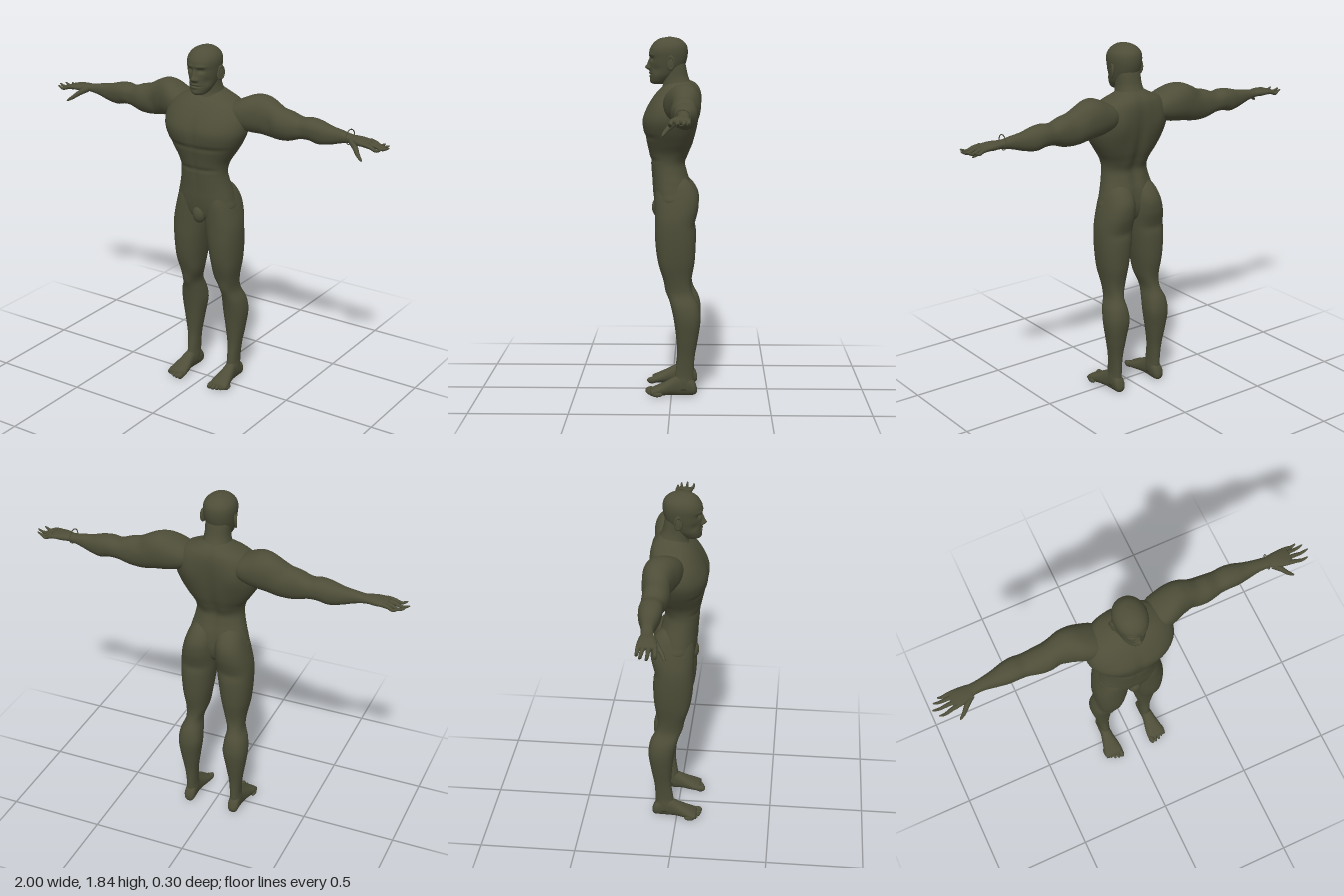
import * as THREE from 'three';

const skin = new THREE.MeshStandardMaterial({ color: 0x4d4d38 });
skin.name = 'olive';

// Smooth interpolation of section rows [t, u0, u1, v0, v1]
function sample(rows, t) {
  let i = 0;
  while (i < rows.length - 2 && t > rows[i + 1][0]) i++;
  const a = rows[i], b = rows[i + 1], h = b[0] - a[0], k = (t - a[0]) / h;
  const p = rows[Math.max(i - 1, 0)], q = rows[Math.min(i + 2, rows.length - 1)];
  return [1, 2, 3, 4].map(c => {
    const m0 = (b[c] - p[c]) / (b[0] - p[0]) * h, m1 = (q[c] - a[c]) / (q[0] - a[0]) * h;
    const k2 = k * k, k3 = k2 * k;
    return (2 * k3 - 3 * k2 + 1) * a[c] + (k3 - 2 * k2 + k) * m0 + (3 * k2 - 2 * k3) * b[c] + (k3 - k2) * m1;
  });
}

// Closed loft of rounded sections, with muscle bumps [x, y, z, rx, ry, rz, amount] mirrored in x
function loft(name, rows, map, bumps = [], n = 56, m = 64, power = 2.25) {
  const pos = [], idx = [], t0 = rows[0][0], t1 = rows[rows.length - 1][0];
  for (let j = 0; j <= m; j++) {
    const t = t0 + (t1 - t0) * j / m, [u0, u1, v0, v1] = sample(rows, t);
    for (let i = 0; i < n; i++) {
      const a = i / n * Math.PI * 2, c = Math.cos(a), s = Math.sin(a), e = 2 / power;
      const u = (u0 + u1) / 2 + (u1 - u0) / 2 * Math.sign(c) * Math.abs(c) ** e;
      const v = (v0 + v1) / 2 + (v1 - v0) / 2 * Math.sign(s) * Math.abs(s) ** e;
      pos.push(...map(t, u, v));
      const d = (i + 1) % n;
      if (j < m) idx.push(j * n + i, j * n + d, j * n + n + i, j * n + d, j * n + n + d, j * n + n + i);
    }
  }
  // End caps
  for (const [t, base, dir] of [[t0, 0, 1], [t1, m * n, 0]]) {
    const [u0, u1, v0, v1] = sample(rows, t), c = pos.length / 3;
    pos.push(...map(t, (u0 + u1) / 2, (v0 + v1) / 2));
    for (let i = 0; i < n; i++) {
      const a = base + i, b = base + (i + 1) % n;
      idx.push(c, dir ? b : a, dir ? a : b);
    }
  }
  // Turn faces outward
  const V = i => new THREE.Vector3(pos[i * 3], pos[i * 3 + 1], pos[i * 3 + 2]);
  let volume = 0;
  for (let i = 0; i < idx.length; i += 3) volume += V(idx[i]).dot(V(idx[i + 1]).cross(V(idx[i + 2])));
  if (volume < 0) idx.reverse();
  const g = new THREE.BufferGeometry();
  g.setAttribute('position', new THREE.Float32BufferAttribute(pos, 3));
  g.setIndex(idx);
  g.computeVertexNormals();
  const P = g.attributes.position, N = g.attributes.normal;
  for (let i = 0; i < P.count; i++) {
    let d = 0;
    for (const [x, y, z, rx, ry, rz, amt] of bumps) {
      d += amt * Math.exp(-(((Math.abs(P.getX(i)) - x) / rx) ** 2 + ((P.getY(i) - y) / ry) ** 2 + ((P.getZ(i) - z) / rz) ** 2));
    }
    P.setXYZ(i, P.getX(i) + N.getX(i) * d, P.getY(i) + N.getY(i) * d, P.getZ(i) + N.getZ(i) * d);
  }
  g.computeVertexNormals();
  const mesh = new THREE.Mesh(g, skin);
  mesh.name = name;
  return mesh;
}

// Tapered digit along a curved path
function digit(name, points, r0, r1) {
  const curve = new THREE.CatmullRomCurve3(points.map(p => new THREE.Vector3(...p)));
  const g = new THREE.TubeGeometry(curve, 20, 1, 10), P = g.attributes.position, v = new THREE.Vector3();
  for (let i = 0; i < P.count; i++) {
    const t = Math.floor(i / 11) / 20, c = curve.getPointAt(t);
    v.fromBufferAttribute(P, i).sub(c).multiplyScalar((r0 + (r1 - r0) * t) * Math.sqrt(1 - t ** 10)).add(c);
    P.setXYZ(i, v.x, v.y, v.z);
  }
  g.computeVertexNormals();
  const mesh = new THREE.Mesh(g, skin);
  mesh.name = name;
  return mesh;
}

function ball(name, p, r) {
  const mesh = new THREE.Mesh(new THREE.SphereGeometry(1, 24, 16), skin);
  mesh.name = name;
  mesh.position.set(...p);
  mesh.scale.set(...r);
  return mesh;
}

const upright = (t, u, v) => [u, t, v];
const even = rows => rows.map(([t, w, b, f]) => [t, -w, w, b, f]);

function buildSide(s, side) {
  const g = new THREE.Group();
  g.name = side + 'Limbs';
  // Leg with buttock, thigh, knee and calf
  g.add(loft(side + 'Leg', [
    [0.03, 0.1, 0.158, -0.115, -0.01], [0.1, 0.1, 0.155, -0.115, -0.018], [0.2, 0.095, 0.163, -0.12, -0.03],
    [0.3, 0.08, 0.18, -0.137, -0.025], [0.4, 0.067, 0.193, -0.15, -0.012], [0.47, 0.07, 0.185, -0.14, 0.003],
    [0.53, 0.076, 0.162, -0.115, 0.018], [0.6, 0.056, 0.165, -0.105, 0.04], [0.7, 0.034, 0.183, -0.119, 0.07],
    [0.8, 0.018, 0.192, -0.124, 0.083], [0.9, 0.004, 0.192, -0.122, 0.085], [0.97, 0, 0.18, -0.137, 0.086],
    [1.04, 0.002, 0.16, -0.135, 0.085], [1.1, 0.012, 0.135, -0.1, 0.07], [1.14, 0.035, 0.1, -0.05, 0.04]
  ], (t, u, v) => [s * u, t, v], [
    [0.115, 0.54, 0.03, 0.03, 0.04, 0.03, 0.008], [0.065, 0.62, 0.02, 0.03, 0.06, 0.05, 0.006],
    [0.16, 0.65, 0.04, 0.03, 0.07, 0.05, 0.004], [0.12, 0.56, -0.11, 0.03, 0.05, 0.03, -0.006],
    [0.08, 0.42, -0.13, 0.03, 0.07, 0.04, 0.005], [0.13, 0.07, -0.06, 0.04, 0.02, 0.025, 0.006],
    [0.1, 0.88, -0.12, 0.08, 0.02, 0.03, -0.006]
  ], 48, 80));
  // Foot
  g.add(loft(side + 'Foot', [
    [-0.132, 0.115, 0.14, 0.015, 0.04], [-0.122, 0.102, 0.155, 0.004, 0.07], [-0.09, 0.098, 0.158, 0, 0.1],
    [-0.04, 0.1, 0.16, 0, 0.108], [0, 0.096, 0.168, 0.002, 0.088], [0.05, 0.086, 0.18, 0, 0.062],
    [0.09, 0.082, 0.187, 0, 0.043], [0.108, 0.088, 0.183, 0.004, 0.033]
  ], (t, u, v) => [s * u, v, t], [], 32, 32));
  for (let i = 0; i < 5; i++) {
    const r = [0.015, 0.011, 0.0105, 0.01, 0.01][i];
    g.add(ball(side + 'Toe' + (i + 1), [s * (0.097 + i * 0.0205), r + 0.003, 0.108 - i * i * 0.0022], [r, r + 0.003, 0.028]));
  }
  // Arm from shoulder to wrist
  g.add(loft(side + 'Arm', [
    [0.1, 1.47, 1.53, -0.1, 0.01], [0.15, 1.44, 1.565, -0.13, 0.035], [0.2, 1.422, 1.59, -0.143, 0.04],
    [0.25, 1.415, 1.608, -0.15, 0.028], [0.3, 1.411, 1.608, -0.15, 0.008], [0.35, 1.402, 1.588, -0.146, -0.004],
    [0.4, 1.398, 1.562, -0.138, -0.008], [0.45, 1.403, 1.55, -0.135, -0.01], [0.51, 1.422, 1.53, -0.134, -0.018],
    [0.56, 1.424, 1.536, -0.136, -0.022], [0.61, 1.413, 1.53, -0.132, -0.026], [0.67, 1.422, 1.514, -0.117, -0.035],
    [0.73, 1.44, 1.505, -0.104, -0.042], [0.78, 1.452, 1.495, -0.099, -0.04], [0.82, 1.455, 1.492, -0.1, -0.035]
  ], (t, u, v) => [s * t, u, v], [
    [0.35, 1.47, -0.01, 0.025, 0.05, 0.03, -0.006], [0.42, 1.48, 0, 0.05, 0.05, 0.03, 0.007],
    [0.37, 1.54, -0.13, 0.04, 0.03, 0.04, -0.005], [0.52, 1.48, -0.02, 0.03, 0.03, 0.03, -0.004],
    [0.6, 1.5, -0.03, 0.06, 0.03, 0.04, 0.004]
  ], 40, 80));
  // Palm
  g.add(loft(side + 'Palm', [
    [0.77, 1.456, 1.49, -0.095, -0.045], [0.8, 1.456, 1.493, -0.1, -0.032], [0.84, 1.453, 1.493, -0.105, -0.018],
    [0.88, 1.457, 1.487, -0.106, -0.012], [0.9, 1.462, 1.482, -0.1, -0.016]
  ], (t, u, v) => [s * t, u, v], [], 28, 24));
  // Fingers and thumb
  [[-0.095, -0.1, 0.955], [-0.072, -0.082, 0.985], [-0.047, -0.05, 1.0], [-0.023, -0.012, 0.98]].forEach(([z0, z1, x], i) => {
    const at = k => s * (0.875 + (x - 0.875) * k), zk = k => z0 + (z1 - z0) * k;
    g.add(digit(side + 'Finger' + (i + 1), [[at(0), 1.473, zk(0)], [at(0.35), 1.468, zk(0.4)],
      [at(0.7), 1.457, zk(0.8)], [at(1), 1.471, zk(1)]], 0.0125, 0.006));
  });
  g.add(digit(side + 'Thumb', [[s * 0.8, 1.472, -0.045], [s * 0.835, 1.45, -0.018], [s * 0.865, 1.425, 0.008],
    [s * 0.895, 1.404, 0.024]], 0.018, 0.007));
  // Ear
  const ear = ball(side + 'Ear', [s * 0.083, 1.708, 0.006], [0.008, 0.036, 0.02]);
  ear.rotation.set(-0.2, s * -0.35, 0);
  const rim = new THREE.Mesh(new THREE.TorusGeometry(0.017, 0.005, 8, 24), skin);
  rim.name = side + 'EarRim';
  rim.scale.set(1, 1.75, 1);
  rim.rotation.y = Math.PI / 2 + s * -0.35;
  rim.position.set(s * 0.087, 1.71, 0.004);
  g.add(ear, rim);
  return g;
}

export function createModel() {
  const model = new THREE.Group();
  model.name = 'figure';
  // Torso with chest, ribs, abdomen and back muscles
  model.add(loft('torso', even([
    [0.92, 0.03, -0.06, 0.05], [0.95, 0.1, -0.085, 0.078], [1.0, 0.165, -0.1, 0.09], [1.05, 0.158, -0.1, 0.097],
    [1.1, 0.145, -0.092, 0.1], [1.15, 0.132, -0.075, 0.104], [1.2, 0.126, -0.065, 0.108], [1.25, 0.137, -0.085, 0.117],
    [1.3, 0.168, -0.108, 0.128], [1.36, 0.205, -0.125, 0.143], [1.42, 0.228, -0.136, 0.146], [1.48, 0.225, -0.142, 0.128],
    [1.53, 0.2, -0.142, 0.1], [1.565, 0.16, -0.135, 0.072], [1.59, 0.105, -0.12, 0.045], [1.615, 0.06, -0.095, 0.02]
  ]), upright, [
    [0.09, 1.42, 0.14, 0.08, 0.06, 0.06, 0.006], [0, 1.43, 0.14, 0.014, 0.09, 0.06, -0.006],
    [0.08, 1.335, 0.13, 0.12, 0.014, 0.06, -0.006], [0, 1.22, 0.11, 0.01, 0.12, 0.05, -0.004],
    [0.05, 1.215, 0.11, 0.09, 0.012, 0.05, -0.005], [0, 1.3, -0.13, 0.025, 0.25, 0.07, -0.014],
    [0.12, 1.45, -0.13, 0.05, 0.08, 0.05, 0.01], [0.05, 1.2, -0.07, 0.03, 0.1, 0.04, 0.006]
  ], 80, 110));
  // Neck
  model.add(loft('neck', even([
    [1.53, 0.1, -0.125, 0.06], [1.57, 0.088, -0.118, 0.055], [1.6, 0.073, -0.102, 0.046],
    [1.64, 0.064, -0.083, 0.048], [1.7, 0.062, -0.07, 0.05], [1.74, 0.055, -0.06, 0.04]
  ]), upright, [[0.035, 1.6, 0.05, 0.015, 0.06, 0.04, 0.004]], 40, 32));
  // Head with brow, eyes, nose, lips and chin
  model.add(loft('head', even([
    [1.6, 0.018, 0.05, 0.088], [1.608, 0.036, 0.03, 0.103], [1.625, 0.05, 0, 0.11], [1.65, 0.063, -0.03, 0.111],
    [1.69, 0.073, -0.062, 0.113], [1.73, 0.08, -0.077, 0.113], [1.77, 0.083, -0.081, 0.115], [1.8, 0.075, -0.074, 0.101],
    [1.822, 0.055, -0.053, 0.079], [1.834, 0.032, -0.03, 0.055], [1.84, 0.006, 0.004, 0.018]
  ]), upright, [
    [0.032, 1.73, 0.105, 0.015, 0.011, 0.04, -0.012], [0.03, 1.75, 0.11, 0.028, 0.009, 0.04, 0.005],
    [0, 1.686, 0.12, 0.012, 0.013, 0.05, 0.021], [0, 1.708, 0.12, 0.009, 0.02, 0.05, 0.011],
    [0.014, 1.682, 0.11, 0.007, 0.008, 0.04, 0.006], [0, 1.657, 0.11, 0.02, 0.006, 0.04, 0.006],
    [0, 1.65, 0.11, 0.026, 0.003, 0.04, -0.005], [0, 1.642, 0.11, 0.017, 0.006, 0.04, 0.005],
    [0, 1.616, 0.1, 0.02, 0.012, 0.04, 0.005], [0.055, 1.675, 0.08, 0.015, 0.02, 0.04, -0.005]
  ], 112, 120, 2.1));
  // Groin
  model.add(ball('groin', [0, 0.965, 0.07], [0.036, 0.05, 0.034]));
  for (const [s, side] of [[1, 'left'], [-1, 'right']]) {
    model.add(buildSide(s, side));
    model.add(ball(side + 'Eye', [s * 0.031, 1.729, 0.083], [0.013, 0.009, 0.013]));
  }
  // Wrist ring
  const ring = new THREE.Mesh(new THREE.TorusGeometry(0.037, 0.0025, 8, 40), skin);
  ring.name = 'bracelet';
  ring.rotation.y = Math.PI / 2 - 0.1;
  ring.position.set(0.78, 1.482, -0.068);
  model.add(ring);
  return model;
}
